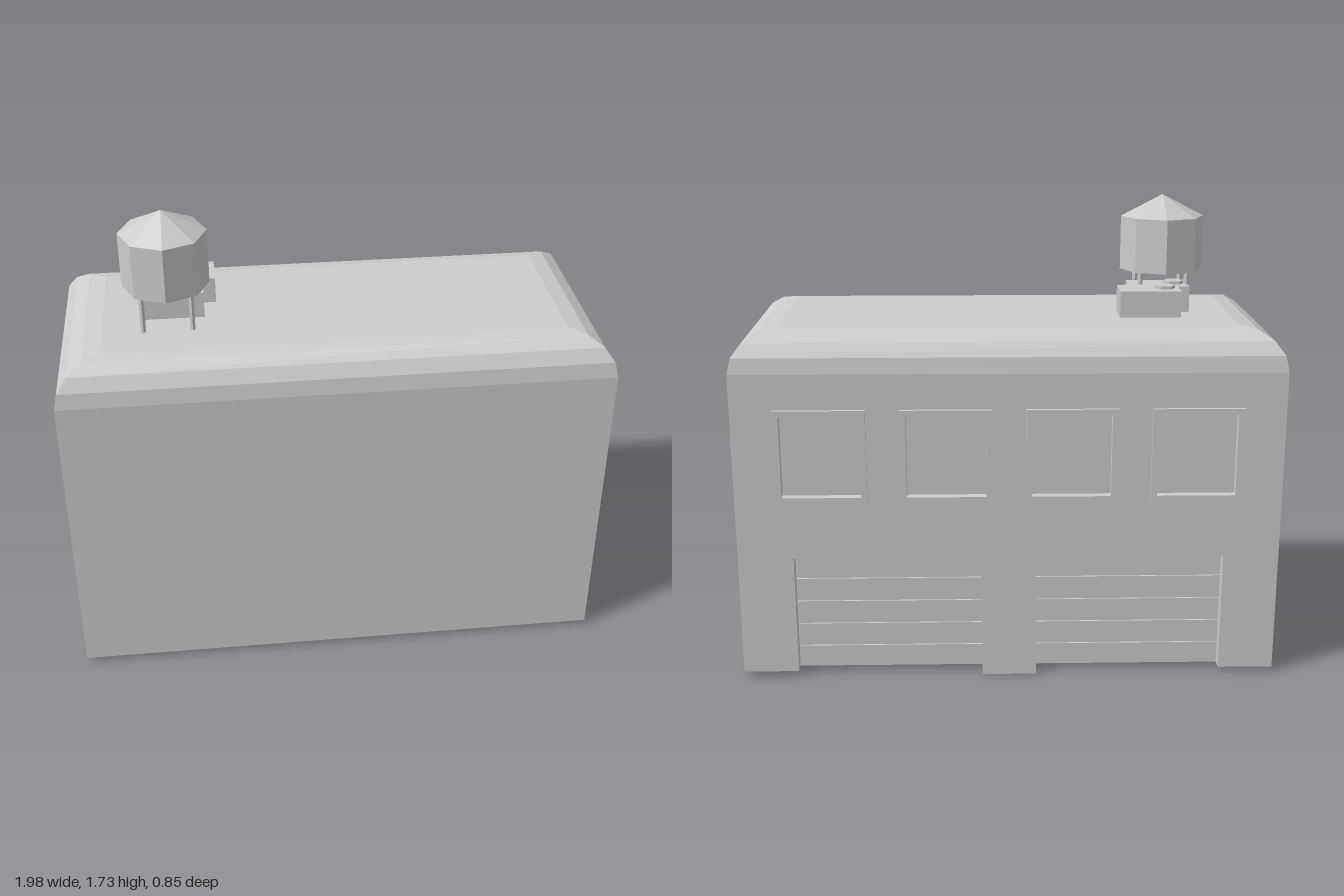
import * as THREE from 'three';

const HX = 0.988, FRONT = 0.42, BACK = -0.415, BASE = 0.02, EAVE = 1.16, RECESS = 0.05;

export function createModel() {
  const model = new THREE.Group();
  model.name = 'garageBuilding';
  const grey = new THREE.MeshStandardMaterial({ color: 0xcccccc, flatShading: true });
  grey.name = 'plain grey';

  const add = (name, geo, x = 0, y = 0, z = 0) => {
    const mesh = new THREE.Mesh(geo, grey);
    mesh.name = name;
    mesh.position.set(x, y, z);
    model.add(mesh);
    return mesh;
  };
  // Box given by its minimum and maximum corners
  const box = (name, x0, x1, y0, y1, z0, z1) =>
    add(name, new THREE.BoxGeometry(x1 - x0, y1 - y0, z1 - z0), (x0 + x1) / 2, (y0 + y1) / 2, (z0 + z1) / 2);
  const rect = (x, y, w, h) => new THREE.Path([
    new THREE.Vector2(x - w / 2, y - h / 2), new THREE.Vector2(x - w / 2, y + h / 2),
    new THREE.Vector2(x + w / 2, y + h / 2), new THREE.Vector2(x + w / 2, y - h / 2)]);
  const extrude = (shape, depth) => new THREE.ExtrudeGeometry(shape, { depth, bevelEnabled: false });

  // Main block behind the recessed back wall
  box('mainBlock', -HX, HX, BASE, EAVE, BACK + RECESS, FRONT);

  // Back wall with two door openings and four window openings
  const winX = [-0.675, -0.225, 0.225, 0.675], winY = 0.856, winW = 0.33, winH = 0.35, border = 0.022;
  const doorIn = 0.1, doorOut = 0.785, doorTop = 0.47;
  const wall = new THREE.Shape([
    [-HX, BASE], [-doorOut, BASE], [-doorOut, doorTop], [-doorIn, doorTop], [-doorIn, BASE],
    [doorIn, BASE], [doorIn, doorTop], [doorOut, doorTop], [doorOut, BASE],
    [HX, BASE], [HX, EAVE], [-HX, EAVE]].map(([x, y]) => new THREE.Vector2(x, y)));
  const innerW = winW - 2 * border, innerH = winH - 2 * border;
  winX.forEach(x => wall.holes.push(rect(x, winY, innerW, innerH)));
  add('backWall', extrude(wall, RECESS), 0, 0, BACK);

  // Thin facing on the pillar between the doors, reaching the ground
  box('pillarFoot', -doorIn, doorIn, 0, BASE, BACK, BACK + 0.004);

  // Window frames and recessed panes
  for (const x of winX) {
    const frame = new THREE.Shape(rect(0, 0, winW, winH).getPoints());
    frame.holes.push(rect(0, 0, innerW, innerH));
    add('windowFrame', extrude(frame, 0.015), x, winY, BACK - 0.013);
    box('windowPane', x - innerW / 2, x + innerW / 2, winY - innerH / 2, winY + innerH / 2,
      BACK + 0.032, BACK + RECESS + 0.005);
  }

  // Garage doors made of horizontal slats
  const slats = 5, pitch = (doorTop - BASE) / slats;
  for (const side of [-1, 1]) {
    const mid = side * (doorIn + doorOut) / 2, half = (doorOut - doorIn) / 2;
    for (let i = 0; i < slats; i++) {
      const y = BASE + i * pitch;
      box('doorSlat', mid - half, mid + half, y, y + pitch - 0.007, BACK + RECESS - 0.006, BACK + RECESS + 0.002);
    }
  }

  // Rounded roof: rectangular rings stepped along a quarter ellipse
  const rings = [];
  for (let i = 0; i <= 4; i++) {
    const a = (i / 4) * Math.PI / 2, inset = 1 - Math.cos(a);
    const x = HX - 0.165 * inset, y = EAVE + 0.148 * Math.sin(a);
    const z0 = BACK + 0.13 * inset, z1 = FRONT - 0.13 * inset;
    rings.push([[-x, y, z1], [x, y, z1], [x, y, z0], [-x, y, z0]]);
  }
  const pos = [];
  const quad = (a, b, c, d) => pos.push(...a, ...b, ...c, ...a, ...c, ...d);
  for (let i = 0; i < 4; i++) {
    for (let k = 0; k < 4; k++) {
      const n = (k + 1) % 4;
      quad(rings[i][k], rings[i][n], rings[i + 1][n], rings[i + 1][k]);
    }
  }
  quad(...rings[4]);
  const roof = new THREE.BufferGeometry();
  roof.setAttribute('position', new THREE.Float32BufferAttribute(pos, 3));
  roof.computeVertexNormals();
  add('roundedRoof', roof);

  // Water tank on four legs
  const roofY = EAVE + 0.148, tx = -0.588, tz = 0.077;
  add('tankBody', new THREE.CylinderGeometry(0.155, 0.155, 0.2, 8), tx, 1.55, tz);
  add('tankRoof', new THREE.ConeGeometry(0.155, 0.08, 8), tx, 1.69, tz);
  for (const sx of [-1, 1]) {
    for (const sz of [-1, 1]) {
      add('tankLeg', new THREE.CylinderGeometry(0.01, 0.01, 0.15, 6), tx + sx * 0.087, 1.38, tz + sz * 0.087);
    }
  }

  // Rooftop air units with hexagonal fan caps
  box('airUnit', -0.635, -0.412, roofY - 0.005, 1.405, -0.17, -0.03);
  box('airUnit', -0.68, -0.457, roofY - 0.005, 1.404, -0.065, 0.08);
  for (const [x, z] of [[-0.583, -0.098], [-0.628, 0.007]]) {
    const fan = add('fanCap', new THREE.CylinderGeometry(0.038, 0.038, 0.015, 6), x, 1.408, z);
    fan.rotation.y = Math.PI / 6 + Math.PI / 3;
  }
  return model;
}
